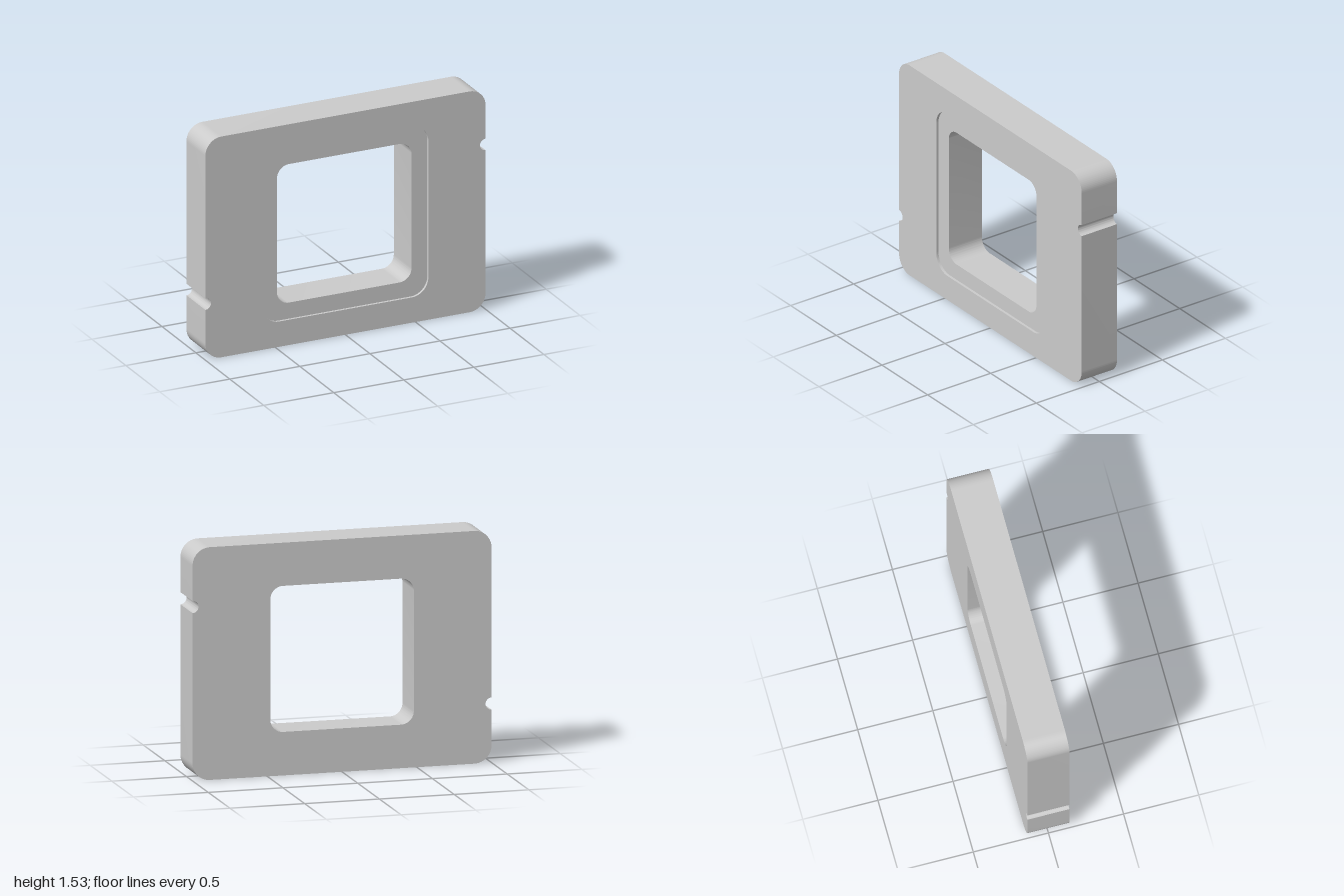
import * as THREE from 'three';
import { toCreasedNormals } from 'three/addons/utils/BufferGeometryUtils.js';

const BACK = -0.14, FRONT = 0.14, LEDGE = 0.122;
const SEGMENTS = 16;

// Counter-clockwise rounded rectangle; side notches are optional heights on the +x and -x edges
function roundedRect(shape, x, y0, y1, r, notches) {
  const q = Math.PI / 2, notchR = 0.04;
  shape.moveTo(-x + r, y0);
  shape.absarc(x - r, y0 + r, r, -q, 0, false);
  if (notches) shape.absarc(x, notches.right, notchR, -q, q, true);
  shape.absarc(x - r, y1 - r, r, 0, q, false);
  shape.absarc(-x + r, y1 - r, r, q, 2 * q, false);
  if (notches) shape.absarc(-x, notches.left, notchR, q, -q, true);
  shape.absarc(-x + r, y0 + r, r, 2 * q, 3 * q, false);
  return shape;
}

// Flat ring between an outer outline and an opening
function face(outer, inner, z, facesBack) {
  const shape = outer.clone();
  shape.holes.push(inner);
  const geo = new THREE.ShapeGeometry(shape, SEGMENTS).translate(0, 0, z);
  if (facesBack) {
    geo.index.array.reverse();
    geo.computeVertexNormals();
  }
  return geo;
}

// Wall swept along z from an outline; inward walls line an opening
function wall(outline, z0, z1, inward) {
  const pts = outline.getPoints(SEGMENTS);
  if (pts[0].distanceTo(pts[pts.length - 1]) < 1e-6) pts.pop();
  if (inward) pts.reverse();
  const pos = [], index = [], n = pts.length;
  pts.forEach((p, i) => {
    pos.push(p.x, p.y, z0, p.x, p.y, z1);
    const a = 2 * i, b = 2 * ((i + 1) % n);
    index.push(a, b, b + 1, a, b + 1, a + 1);
  });
  const geo = new THREE.BufferGeometry();
  geo.setAttribute('position', new THREE.Float32BufferAttribute(pos, 3));
  geo.setIndex(index);
  return toCreasedNormals(geo, Math.PI / 6);
}

export function createModel() {
  const group = new THREE.Group();
  group.name = 'framePlate';
  const material = new THREE.MeshStandardMaterial({ color: 0xcccccc });
  const add = (name, geometry) => {
    const mesh = new THREE.Mesh(geometry, material);
    mesh.name = name;
    group.add(mesh);
  };

  const outline = roundedRect(new THREE.Shape(), 1, 0, 1.53, 0.115, { right: 1.143, left: 0.388 });
  const recess = roundedRect(new THREE.Shape(), 0.592, 0.175, 1.358, 0.12);
  const opening = roundedRect(new THREE.Shape(), 0.48, 0.286, 1.246, 0.085);

  // Plate faces and notched rim
  add('frontFace', face(outline, recess, FRONT, false));
  add('backFace', face(outline, opening, BACK, true));
  add('outerRim', wall(outline, BACK, FRONT, false));

  // Shallow step around the window
  add('recessLedge', face(recess, opening, LEDGE, false));
  add('recessWall', wall(recess, LEDGE, FRONT, true));

  // Through window
  add('openingWall', wall(opening, BACK, LEDGE, true));
  return group;
}
